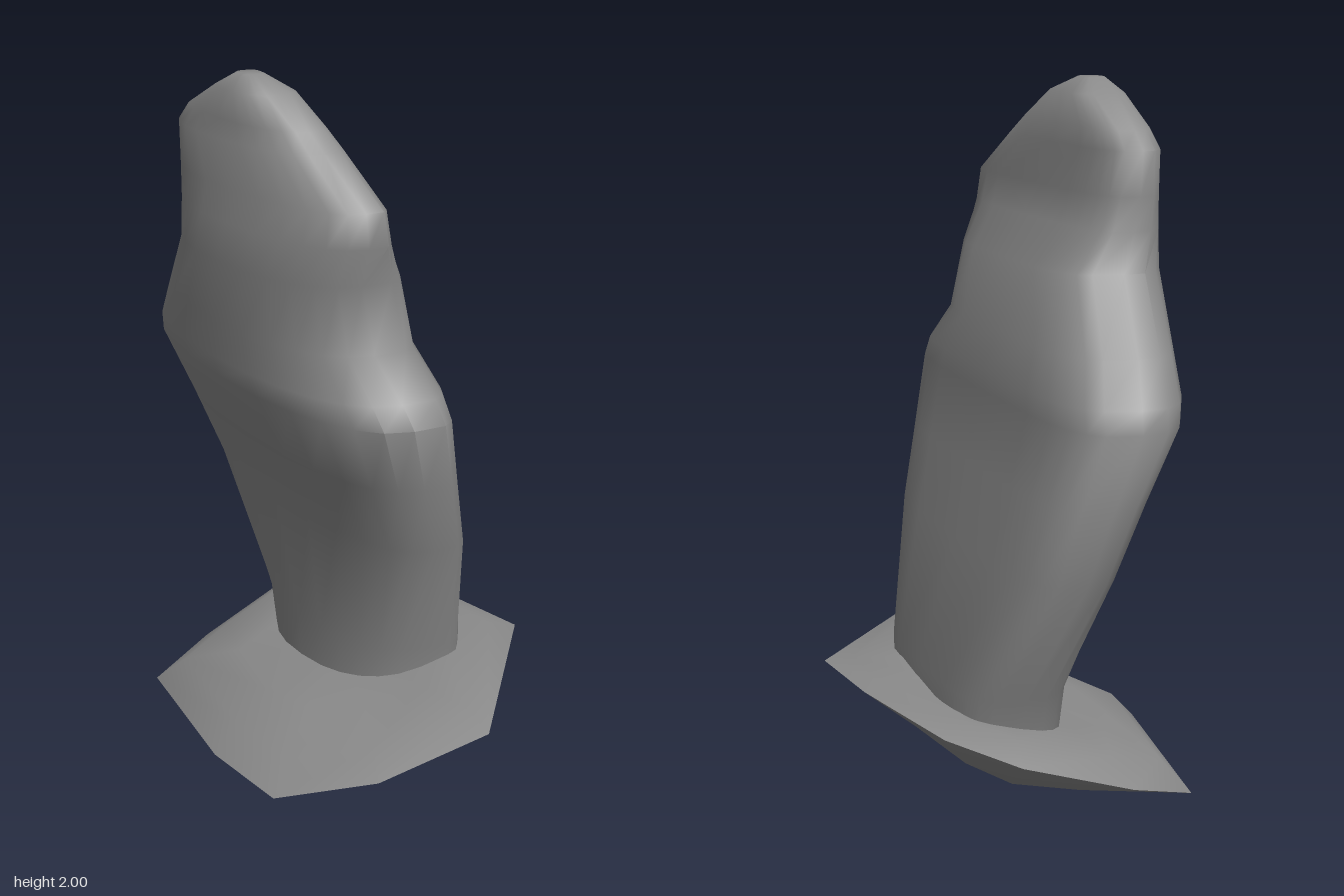
import * as THREE from 'three';
import { toCreasedNormals } from 'three/addons/utils/BufferGeometryUtils.js';

// Skin a stack of equal-length rings (bottom to top, counterclockwise from above), capped at both ends.
function loft(rings, crease) {
  const n = rings[0].length;
  const points = rings.flat();
  const index = [];
  for (let r = 0; r < rings.length - 1; r++) {
    for (let i = 0; i < n; i++) {
      const j = (i + 1) % n;
      const a = r * n + i, b = r * n + j, c = a + n, d = b + n;
      index.push(a, b, d, a, d, c);
    }
  }
  const cap = (start, up) => {
    const centre = new THREE.Vector3();
    for (let i = 0; i < n; i++) centre.addScaledVector(points[start + i], 1 / n);
    const c = points.push(centre) - 1;
    for (let i = 0; i < n; i++) {
      const a = start + i, b = start + (i + 1) % n;
      index.push(c, ...(up ? [a, b] : [b, a]));
    }
  };
  cap(0, false);
  cap((rings.length - 1) * n, true);
  const geometry = new THREE.BufferGeometry().setFromPoints(points);
  geometry.setIndex(index);
  geometry.computeVertexNormals();
  return toCreasedNormals(geometry, crease);
}

// Leaning slab, flat on its left (+x) face and rounder on its right.
// Each row: height, centre x, left depth, right depth, back z, front z, skew.
function slabGeometry() {
  const rows = [
    [0.18, 0.07, 0.17, 0.19, -0.34, 0.23, 0.25],
    [0.35, 0.065, 0.17, 0.19, -0.38, 0.25, 0.25],
    [0.74, -0.01, 0.15, 0.175, -0.58, 0.40, 0.25],
    [0.95, -0.07, 0.165, 0.20, -0.59, 0.45, 0.25],
    [1.15, -0.13, 0.183, 0.228, -0.60, 0.50, 0.25],
    [1.21, -0.14, 0.19, 0.23, -0.58, 0.46, 0.25],
    [1.32, -0.17, 0.18, 0.20, -0.48, 0.37, 0.27],
    [1.51, -0.185, 0.165, 0.19, -0.31, 0.36, 0.30],
    [1.62, -0.20, 0.11, 0.155, -0.29, 0.40, 0.34],
    [1.71, -0.21, 0.10, 0.13, -0.28, 0.39, 0.37],
    [1.83, -0.24, 0.093, 0.115, -0.285, 0.24, 0.37],
    [1.88, -0.245, 0.083, 0.10, -0.25, 0.19, 0.35],
    [1.96, -0.255, 0.075, 0.08, -0.10, 0.10, 0.30],
    [2.00, -0.265, 0.03, 0.03, -0.03, 0.03, 0.25],
  ];
  const sides = 24;
  const round = (v, power) => Math.sign(v) * Math.abs(v) ** (2 / power);
  const rings = rows.map(([y, cx, left, right, back, front, skew]) => Array.from({ length: sides }, (_, i) => {
    const a = i / sides * Math.PI * 2;
    const isLeft = Math.sin(a) > 0;
    const power = isLeft ? 4 : 2.4;
    const dz = round(Math.cos(a), power) * (front - back) / 2;
    const dx = round(Math.sin(a), power) * (isLeft ? left : right);
    return new THREE.Vector3(cx + dx + dz * skew, y, (front + back) / 2 + dz);
  }));
  return loft(rings, 0.9);
}

// Tilted base rock: a sharp rim with a shallow belly below and a gently domed top.
function baseGeometry() {
  const rim = [
    [-0.49, 0.03, -0.38], [-0.45, 0.05, 0.13], [-0.35, 0.03, 0.37], [-0.10, 0.13, 0.54],
    [0.20, 0.26, 0.60], [0.49, 0.30, 0.13], [0.40, 0.29, -0.10], [0.22, 0.27, -0.42],
    [0.03, 0.23, -0.55], [-0.30, 0.10, -0.47],
  ];
  const ring = (scale, height) => rim.map(([x, y, z]) =>
    new THREE.Vector3(x * scale, height(x * scale, y), z * scale));
  return loft([
    ring(0.3, (x) => 0.07 + 0.25 * x),
    ring(0.62, (x) => Math.max(0, 0.08 + 0.3 * x)),
    ring(1, (x, y) => y),
    ring(0.84, (x, y) => y + 0.05 - 0.09 * x),
    ring(0.55, (x) => 0.25 + 0.26 * x),
  ], 1);
}

export function createModel() {
  const group = new THREE.Group();
  group.name = 'standingStone';
  const material = new THREE.MeshStandardMaterial({ color: 0x8a8a8a });
  const add = (name, geometry) => {
    const mesh = new THREE.Mesh(geometry, material);
    mesh.name = name;
    group.add(mesh);
  };
  add('baseRock', baseGeometry());
  add('leaningSlab', slabGeometry());
  return group;
}
